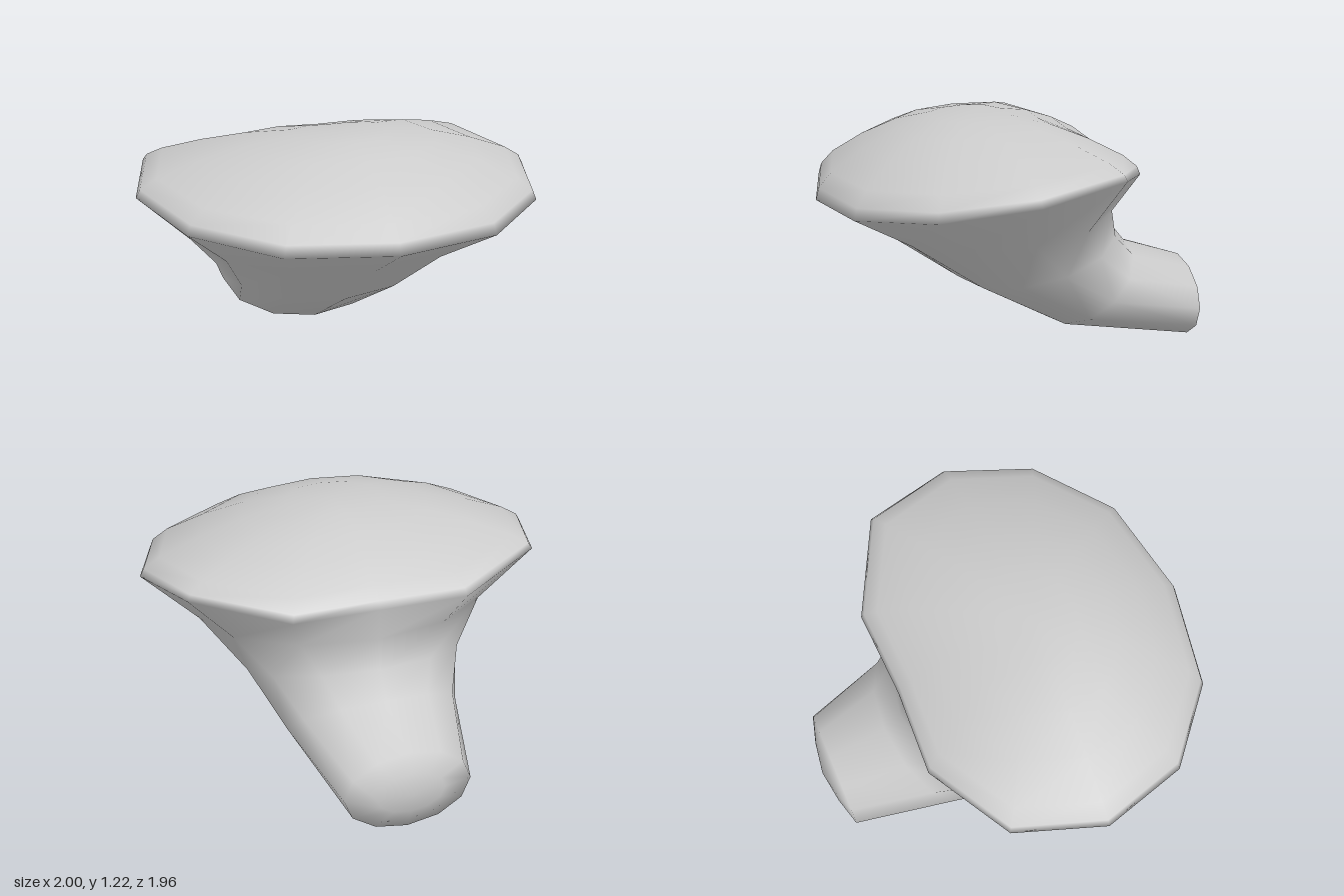
import * as THREE from 'three';

const SIDES = 12;

// Elliptical section spanning a front point and a back point on the midline, given as [z, y]
function section([fz, fy], [bz, by], halfWidth) {
  return Array.from({ length: SIDES }, (_, k) => {
    const a = (k / SIDES) * Math.PI * 2;
    const t = (1 - Math.cos(a)) / 2;
    return [halfWidth * Math.sin(a), fy + (by - fy) * t, fz + (bz - fz) * t];
  });
}

// Mirrors the left half of a loop (front to back) to close it
function mirrored(half) {
  const other = half.slice(1, -1).reverse().map(([x, y, z]) => [-x, y, z]);
  return [...half, ...other];
}

// Skins closed loops from bottom to top, with a single point at each end
function loft(bottom, rings, top) {
  const points = [bottom, ...rings.flat(), top];
  const last = points.length - 1;
  const at = (j, k) => 1 + j * SIDES + (k % SIDES);
  const index = [];
  for (let k = 0; k < SIDES; k++) {
    index.push(0, at(0, k + 1), at(0, k));
    for (let j = 0; j < rings.length - 1; j++) {
      const a = at(j, k), b = at(j, k + 1), c = at(j + 1, k + 1), d = at(j + 1, k);
      index.push(a, b, c, a, c, d);
    }
    index.push(at(rings.length - 1, k), at(rings.length - 1, k + 1), last);
  }
  const geometry = new THREE.BufferGeometry();
  geometry.setAttribute('position', new THREE.Float32BufferAttribute(points.flat(), 3));
  geometry.setIndex(index);
  geometry.computeVertexNormals();
  return geometry;
}

export function createModel() {
  // Stem: rounded end, then sections bending up and widening towards the rim
  const stem = [
    section([-0.96, 0.11], [-0.96, 0.32], 0.17),
    section([-0.92, 0], [-0.92, 0.415], 0.315),
    section([-0.2, 0.135], [-0.615, 0.515], 0.44),
    section([0.27, 0.39], [-0.52, 0.63], 0.55),
    section([0.66, 0.66], [-0.49, 0.78], 0.73),
  ];

  // Rim: tilted outline, low at the front and blunt at the back
  const rim = mirrored([
    [0, 0.835, 0.975], [0.51, 0.85, 0.88], [0.865, 0.9, 0.575], [1, 0.97, 0.14],
    [0.865, 1.035, -0.3], [0.43, 0.96, -0.53], [0, 0.95, -0.51],
  ]);

  // Dome: the rim shrinks towards the crown while it rises
  const crown = [0, 1.223, 0.2];
  const dome = [[0.98, 0.15], [0.9, 0.34], [0.7, 0.62], [0.48, 0.85], [0.25, 0.98]].map(
    ([scale, rise]) => rim.map(([x, y, z]) => [
      x * scale,
      y + (crown[1] - y) * rise,
      crown[2] + (z - crown[2]) * scale,
    ]),
  );

  const body = new THREE.Mesh(
    loft([0, 0.22, -0.985], [...stem, rim, ...dome], crown),
    new THREE.MeshStandardMaterial({ color: 0xcccccc }),
  );
  body.name = 'domedCapWithStem';

  const group = new THREE.Group();
  group.name = 'model';
  group.add(body);
  return group;
}
